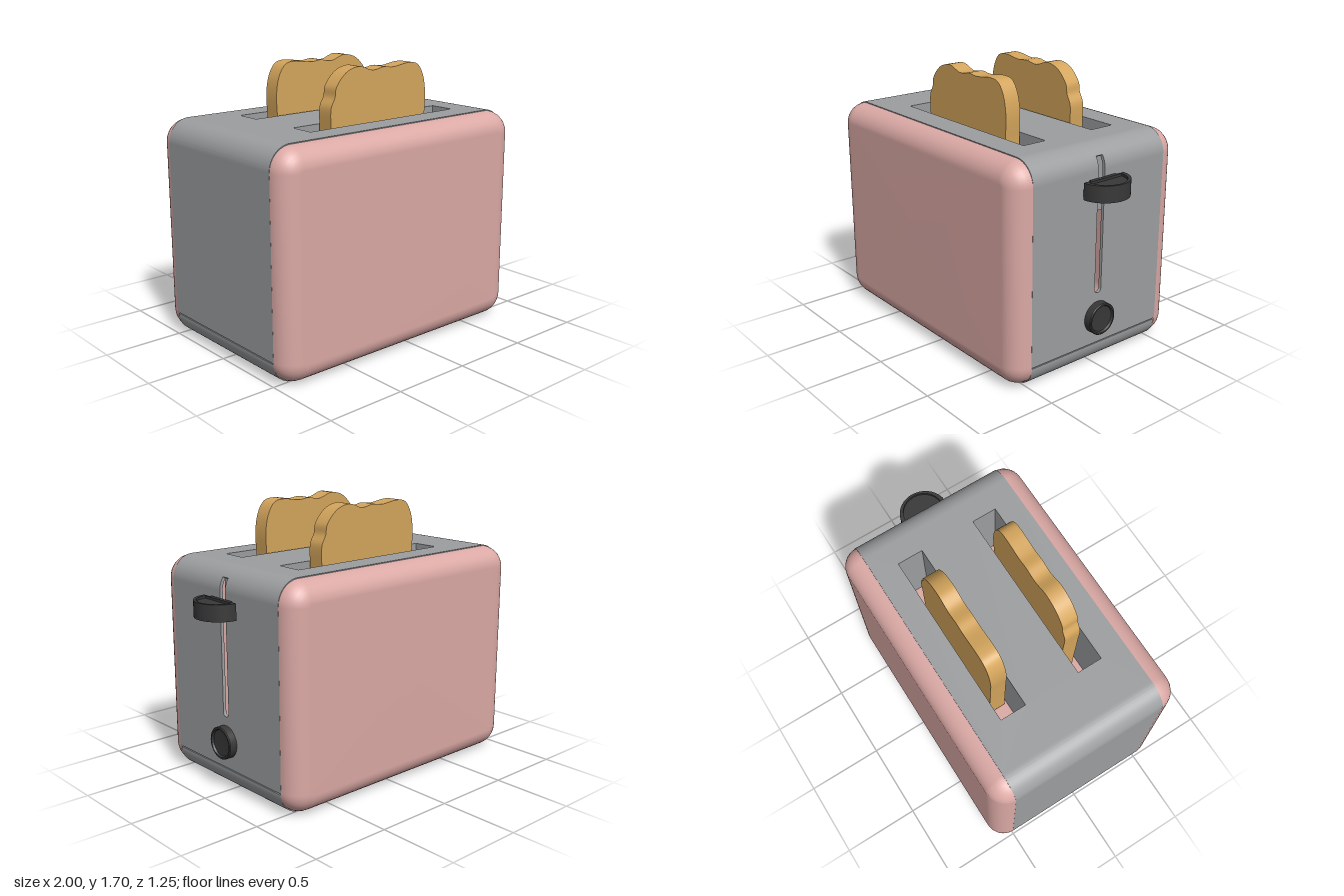
import * as THREE from 'three';
import { toCreasedNormals } from 'three/addons/utils/BufferGeometryUtils.js';

const mat = (name, color) => {
  const m = new THREE.MeshStandardMaterial({ color, side: THREE.DoubleSide });
  m.name = name;
  return m;
};

export function createModel() {
  const pink = mat('pink enamel', 0xdba9a5);
  const grey = mat('grey metal', 0x9c9ea0);
  const crust = mat('toasted bread', 0xd4a55c);
  const black = mat('black plastic', 0x383838);
  const model = new THREE.Group();
  model.name = 'toaster';

  const L = -1, R = 0.83, TOP = 1.38, RAD = 0.14, HALF = 0.505, T = 0.02;
  const CX = (L + R) / 2;

  const add = (name, geometry, material, x = 0, y = 0, z = 0) => {
    const mesh = new THREE.Mesh(geometry, material);
    mesh.name = name;
    mesh.position.set(x, y, z);
    model.add(mesh);
    return mesh;
  };
  const extrude = (shape, depth) => toCreasedNormals(
    new THREE.ExtrudeGeometry(shape, { depth, bevelEnabled: false, curveSegments: 16 }), 0.6);
  const rect = (x0, x1, y0, y1, Kind = THREE.Shape) => new Kind([
    [x0, y0], [x1, y0], [x1, y1], [x0, y1]].map(([x, y]) => new THREE.Vector2(x, y)));
  // Shape drawn in x and z, thickened downwards
  const slab = (shape, depth) => extrude(shape, depth).rotateX(Math.PI / 2);

  // Front and back panels: hollow shells with rounded corners and a rolled rim
  const panelGeometry = () => {
    const w = (R - L) / 2, h = 0.678, D = 0.125, STEPS = 8, C = 8;
    const pos = [], index = [], n = 4 * (C + 1);
    for (let s = 0; s <= STEPS; s++) {
      const a = s / STEPS * Math.PI / 2;
      const r = RAD - D * (1 - Math.cos(a));
      for (let q = 0; q < 4; q++) {
        const sx = q === 0 || q === 3 ? 1 : -1, sy = q < 2 ? 1 : -1;
        for (let c = 0; c <= C; c++) {
          const b = (q + c / C) * Math.PI / 2;
          pos.push(sx * (w - RAD) + r * Math.cos(b), sy * (h - RAD) + r * Math.sin(b), D * Math.sin(a));
        }
      }
    }
    for (let s = 0; s < STEPS; s++) {
      for (let i = 0; i < n; i++) {
        const j = (i + 1) % n, a = s * n, b = a + n;
        index.push(a + i, a + j, b + j, a + i, b + j, b + i);
      }
    }
    const centre = pos.length / 3;
    pos.push(0, 0, D);
    for (let i = 0; i < n; i++) index.push(STEPS * n + i, STEPS * n + (i + 1) % n, centre);
    const g = new THREE.BufferGeometry();
    g.setAttribute('position', new THREE.Float32BufferAttribute(pos, 3));
    g.setIndex(index);
    g.computeVertexNormals();
    return g;
  };
  add('frontPanel', panelGeometry(), pink, CX, 0.697, 0.5);
  add('backPanel', panelGeometry(), pink, CX, 0.697, -0.5).rotation.y = Math.PI;

  // Top plate with two slots, each with a well below
  const slots = [[0.18, 0.34], [-0.345, -0.18]];
  const top = rect(L + RAD, R - RAD, -HALF, HALF);
  for (const [z0, z1] of slots) {
    top.holes.push(rect(-0.59, 0.55, z0, z1, THREE.Path));
    const well = rect(-0.6, 0.56, z0 - 0.01, z1 + 0.01);
    well.holes.push(rect(-0.59, 0.55, z0, z1, THREE.Path));
    add('slotWell', slab(well, 0.5), grey, 0, TOP - T);
    add('slotFloor', new THREE.BoxGeometry(1.14, 0.02, z1 - z0), pink, -0.02, 0.87, (z0 + z1) / 2);
  }
  add('topPlate', slab(top, T), grey, 0, TOP);

  // Curved corners of the metal band
  const bend = (name, cx, cy, r, a0, a1, z0, z1) => {
    const s = new THREE.Shape();
    s.absarc(cx, cy, r, a0, a1, false);
    s.absarc(cx, cy, r - T, a1, a0, true);
    add(name, extrude(s, z1 - z0), grey, 0, 0, z0);
  };
  const Q = Math.PI / 2, SLIT = 0.025, split = 0.6;
  const xl = L + RAD, xr = R - RAD, yt = TOP - RAD;
  bend('leftTopCorner', xl, yt, RAD, Q, 2 * Q, -HALF, HALF);
  bend('rightTopCorner', xr, yt, RAD, split, Q, -HALF, HALF);
  bend('rightTopCornerFront', xr, yt, RAD, 0, split, SLIT, HALF);
  bend('rightTopCornerBack', xr, yt, RAD, 0, split, -HALF, -SLIT);
  bend('leftBottomCorner', xl, 0.145, RAD - 0.005, 2 * Q, 3 * Q, -0.5, 0.5);
  bend('rightBottomCorner', xr, 0.145, RAD - 0.005, 3 * Q, 4 * Q, -0.5, 0.5);

  // Side walls; the one with the controls has a slit for the lever
  add('leftWall', new THREE.BoxGeometry(T, yt - 0.155, 2 * HALF), grey, L + T / 2, (yt + 0.155) / 2);
  const wall = new THREE.Shape();
  wall.moveTo(-HALF, 0.155);
  wall.lineTo(HALF, 0.155);
  wall.lineTo(HALF, yt);
  wall.lineTo(SLIT, yt);
  wall.lineTo(SLIT, 0.505);
  wall.absarc(0, 0.505, SLIT, 0, -Math.PI, true);
  wall.lineTo(-SLIT, yt);
  wall.lineTo(-HALF, yt);
  add('rightWall', extrude(wall, T).rotateY(Math.PI / 2), grey, R - T);

  // Lever: half-round handle with sunken top and bottom
  const half = (k, x0, Kind) => {
    const s = new Kind();
    s.absellipse(x0, 0, 0.15 * k, 0.155 * k, -Q, Q, false, 0);
    s.closePath();
    return s;
  };
  const rim = half(1, 0.85, THREE.Shape);
  rim.holes.push(half(0.82, 0.862, THREE.Path));
  add('leverRim', slab(rim, 0.1), black, 0, 1.2);
  add('leverCore', slab(half(0.84, 0.86, THREE.Shape), 0.07), black, 0, 1.185);
  add('leverBack', new THREE.BoxGeometry(0.015, 0.1, 0.2), black, 0.8445, 1.15);
  add('leverStem', new THREE.CylinderGeometry(0.02, 0.02, 0.07, 16).rotateZ(Q), grey, 0.805, 1.15);

  // Browning dial with a dished face
  const dial = [[0, 0], [0.1, 0], [0.1, 0.045], [0.095, 0.05], [0.086, 0.05], [0.08, 0.038], [0, 0.034]];
  add('dial', toCreasedNormals(new THREE.LatheGeometry(
    dial.map(([x, y]) => new THREE.Vector2(x, y)), 40).rotateZ(-Q), 0.5), black, R, 0.325);

  // Two slices of toast, the back one turned around
  const outline = [[-0.41, 1.36], [-0.41, 1.48], [-0.38, 1.545], [-0.365, 1.61], [-0.29, 1.685],
    [-0.19, 1.71], [-0.09, 1.68], [0, 1.692], [0.08, 1.685], [0.2, 1.7], [0.28, 1.685],
    [0.33, 1.61], [0.35, 1.5], [0.345, 1.36]];
  const curve = new THREE.SplineCurve(outline.map(([x, y]) => new THREE.Vector2(x + 0.035, y)));
  const slice = new THREE.Shape([
    ...curve.getPoints(70), new THREE.Vector2(0.37, 0.89), new THREE.Vector2(-0.37, 0.89)]);
  const bread = extrude(slice, 0.105).translate(0, 0, -0.0525);
  add('frontToast', bread, crust, -0.035, 0, 0.2525);
  add('backToast', bread, crust, -0.035, 0, -0.2525).rotation.y = Math.PI;

  return model;
}
